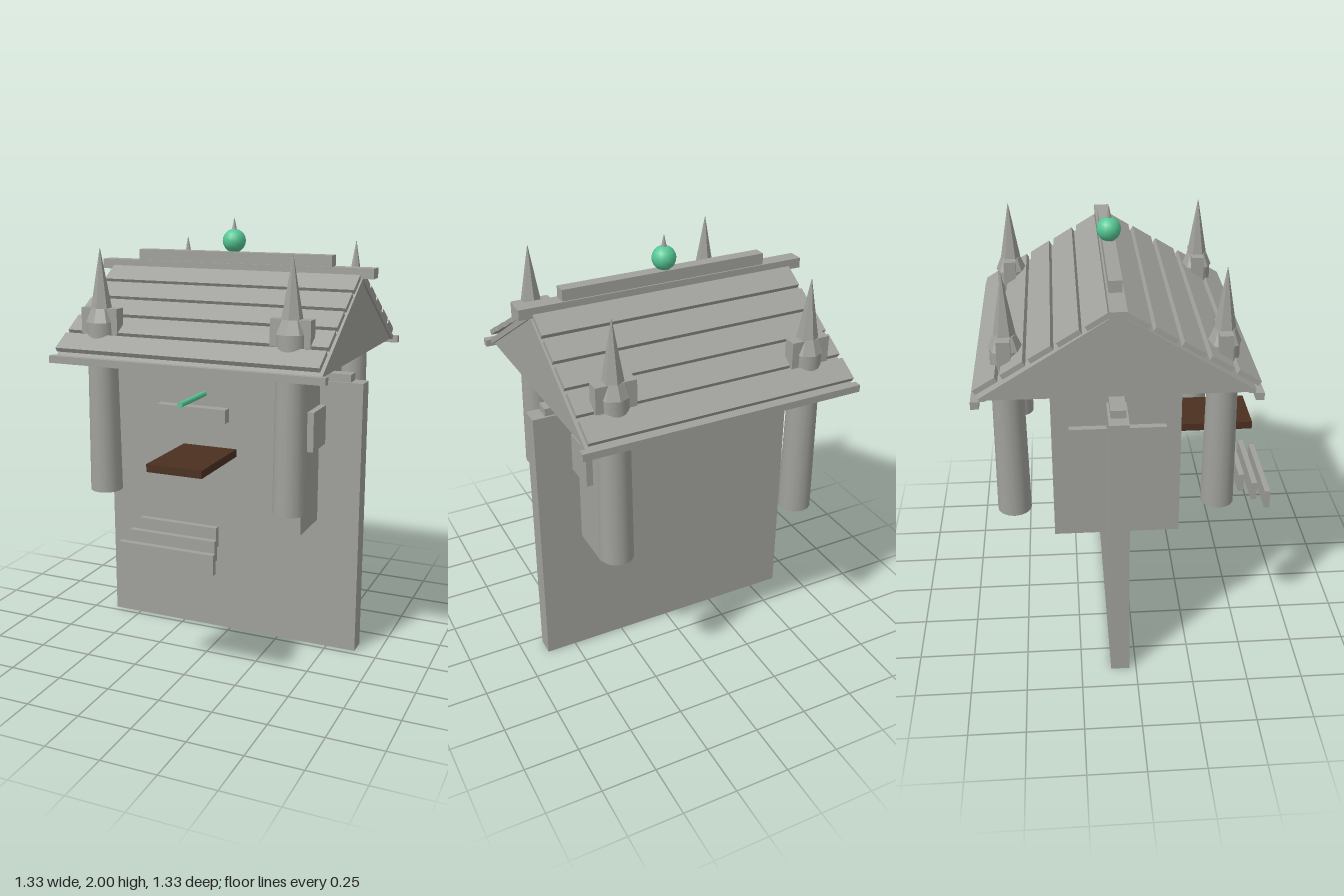
import * as THREE from 'three';

const ZC = -0.075; // depth of the ridge line

export function createModel() {
  const model = new THREE.Group();
  const mat = (name, color) => {
    const m = new THREE.MeshStandardMaterial({ color });
    m.name = name;
    return m;
  };
  const stone = mat('stone grey', 0xa0a09c);
  const wood = mat('dark wood', 0x4b3020);
  const jade = mat('jade green', 0x55c794);

  const add = (name, geo, material, x = 0, y = 0, z = 0, parent = model) => {
    const mesh = new THREE.Mesh(geo, material);
    mesh.name = name;
    mesh.position.set(x, y, z);
    parent.add(mesh);
    return mesh;
  };
  // Box given by its lower and upper limits on each axis
  const block = (name, x0, x1, y0, y1, z0, z1, material = stone) =>
    add(name, new THREE.BoxGeometry(x1 - x0, y1 - y0, z1 - z0), material,
      (x0 + x1) / 2, (y0 + y1) / 2, (z0 + z1) / 2);
  // Prism along x from [z, y] points
  const prism = (name, points, width) => {
    const shape = new THREE.Shape(points.map(([z, y]) => new THREE.Vector2(z, y)));
    const geo = new THREE.ExtrudeGeometry(shape, { depth: width, bevelEnabled: false });
    geo.translate(0, 0, -width / 2).rotateY(-Math.PI / 2);
    return add(name, geo, stone);
  };

  // Wall slab and house body
  block('wallSlab', -0.64, 0.64, 0, 1.29, -0.115, -0.03);
  block('wallCap', -0.58, 0.58, 1.29, 1.325, -0.105, -0.04);
  block('houseBody', -0.44, 0.44, 0.63, 1.41, -0.35, 0.205);
  for (const s of [-1, 1]) {
    const plate = block('sidePanel', 0.43, 0.47, 1.0, 1.18, -0.275, 0.14);
    plate.position.x *= s;
  }

  // Gable block and the roof sheet over it
  prism('gable', [[ZC - 0.535, 1.405], [ZC + 0.535, 1.405], [ZC, 1.737]], 1.21);
  prism('roofSheet', [[ZC - 0.575, 1.405], [ZC - 0.53, 1.405], [ZC, 1.735],
    [ZC + 0.53, 1.405], [ZC + 0.575, 1.405], [ZC, 1.765]], 1.23);

  // Roof planks and eave beams on both slopes
  for (const s of [-1, 1]) {
    for (let i = 0; i < 5; i++) {
      const plank = add('roofPlank', new THREE.BoxGeometry(1.215, 0.022, 0.106), stone,
        0, 1.73 - i * 0.065, ZC + s * (0.077 + i * 0.112));
      plank.rotation.x = s * 0.55;
    }
    add('eaveBeam', new THREE.BoxGeometry(1.275, 0.032, 0.034), stone, 0, 1.4, ZC + s * 0.568);
  }

  // Ridge and orb finial
  block('ridgeBeam', -0.667, 0.667, 1.75, 1.795, -0.11, -0.04);
  block('ridgeCrest', -0.475, 0.475, 1.79, 1.845, -0.103, -0.047);
  add('orbStem', new THREE.CylinderGeometry(0.02, 0.028, 0.03, 12), stone, 0, 1.85, ZC);
  add('orb', new THREE.SphereGeometry(0.053, 16, 10), jade, 0, 1.895, ZC);
  add('orbSpike', new THREE.ConeGeometry(0.016, 0.07, 8), stone, 0, 1.965, ZC);

  // Four corner columns with spires
  const spireFlat = (r0, r1, h, n) => new THREE.CylinderGeometry(r1, r0, h, n).toNonIndexed();
  for (const x of [-0.445, 0.445]) {
    for (const z of [0.37, -0.52]) {
      const corner = new THREE.Group();
      corner.name = 'cornerColumn';
      corner.position.set(x, 0, z);
      model.add(corner);
      add('columnShaft', new THREE.CylinderGeometry(0.064, 0.073, 0.77, 16), stone, 0, 1.175, 0, corner);
      add('spireBlock', new THREE.BoxGeometry(0.177, 0.115, 0.056), stone, 0, 1.563, -0.004, corner);
      const flare = spireFlat(0.071, 0.046, 0.06, 8);
      flare.computeVertexNormals();
      add('spireFlare', flare, stone, 0, 1.59, 0, corner);
      const spire = spireFlat(0.046, 0.001, 0.26, 6);
      spire.computeVertexNormals();
      add('spire', spire, stone, 0, 1.748, 0, corner);
    }
  }

  // Front ledge, sign and rod
  block('ledge', -0.13, 0.13, 0.96, 0.995, 0.2, 0.575, wood);
  block('signBoard', -0.162, 0.162, 1.16, 1.22, 0.36, 0.405);
  const rod = add('rod', new THREE.CylinderGeometry(0.012, 0.012, 0.245, 10), jade, 0, 1.25, 0.385);
  rod.rotation.x = Math.PI / 2;

  // Three floating steps
  for (let i = 0; i < 3; i++) {
    const w = 0.22 - i * 0.02, y = 0.575 + i * 0.037, z = 0.64 - i * 0.061;
    block('step', -w, w, y, y + 0.09, z, z + 0.026);
  }
  return model;
}
